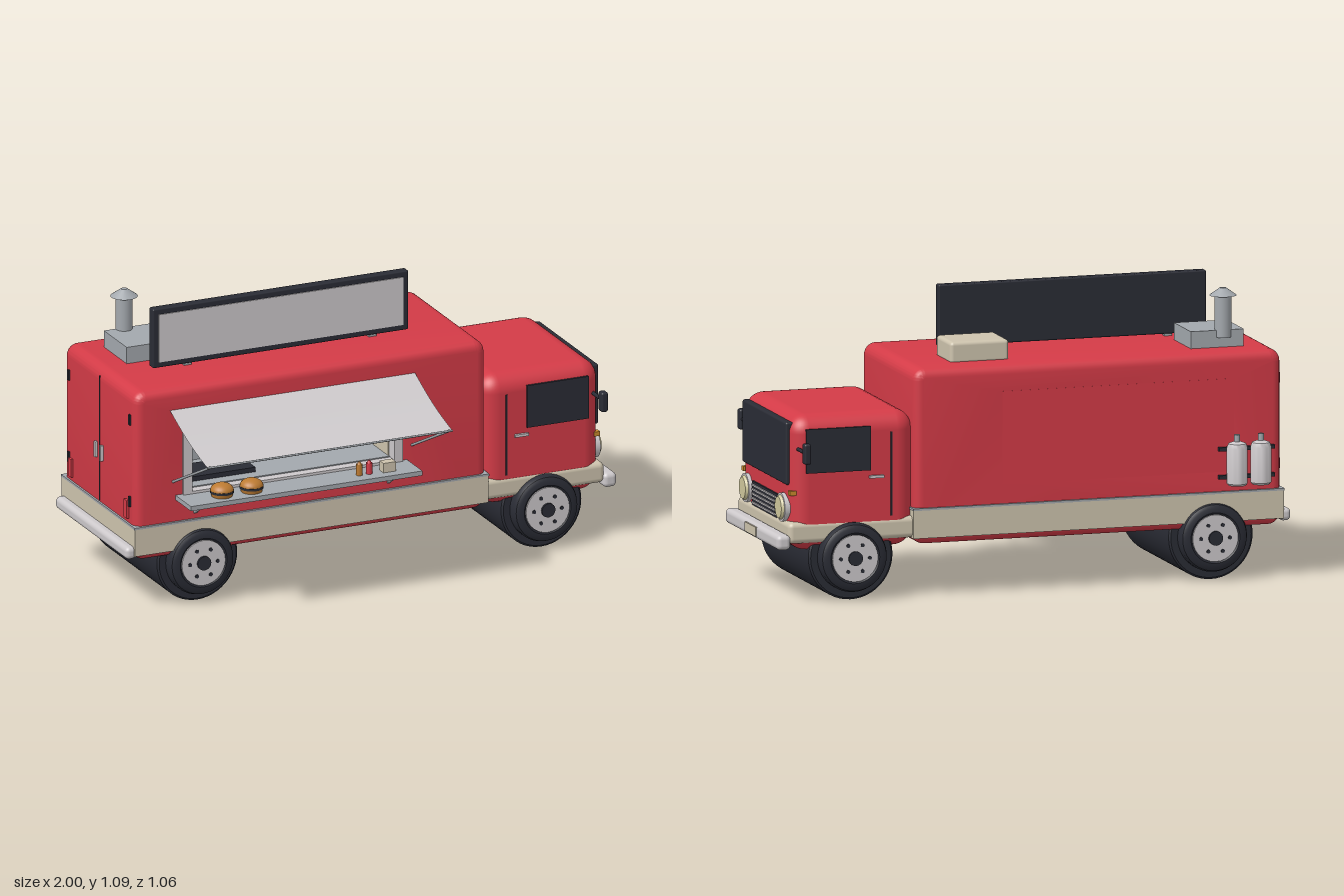
import * as THREE from 'three';
import { toCreasedNormals } from 'three/addons/utils/BufferGeometryUtils.js';
import { RoundedBoxGeometry } from 'three/addons/geometries/RoundedBoxGeometry.js';

const paint = (name, color, double) => {
  const m = new THREE.MeshStandardMaterial({ color });
  m.name = name;
  if (double) m.side = THREE.DoubleSide;
  return m;
};

export function createModel() {
  const red = paint('red paint', 0xd43b47), cream = paint('cream', 0xcec4ae);
  const dark = paint('charcoal', 0x2a2c35), light = paint('light grey', 0xcdc9cb, true);
  const steel = paint('steel', 0xa3a8ad), bun = paint('bun brown', 0xbd7b32);
  const lens = paint('lamp lens', 0xd0c89c), amber = paint('amber', 0xc98a2c);
  const truck = new THREE.Group();
  truck.name = 'foodTruck';
  const MID = -0.122; // centre of the truck across z

  const add = (name, geo, mat, x = 0, y = 0, z = 0) => {
    const m = new THREE.Mesh(geo, mat);
    m.name = name;
    m.position.set(x, y, z);
    truck.add(m);
    return m;
  };
  // Boxes are given by their limits on each axis
  const box = (name, mat, x0, x1, y0, y1, z0, z1, r = 0) => {
    const s = [x1 - x0, y1 - y0, z1 - z0];
    const geo = r ? new RoundedBoxGeometry(...s, 5, r) : new THREE.BoxGeometry(...s);
    return add(name, geo, mat, (x0 + x1) / 2, (y0 + y1) / 2, (z0 + z1) / 2);
  };
  const cyl = (name, mat, r0, r1, h, x, y, z, n = 24) =>
    add(name, new THREE.CylinderGeometry(r0, r1, h, n), mat, x, y, z);
  const rod = (name, mat, a, b, r) => {
    const p = new THREE.Vector3(...a), d = new THREE.Vector3(...b).sub(p);
    const m = cyl(name, mat, r, r, d.length(), 0, 0, 0, 10);
    m.position.copy(p).addScaledVector(d, 0.5);
    m.quaternion.setFromUnitVectors(new THREE.Vector3(0, 1, 0), d.normalize());
  };
  const rect = (P, x0, x1, y0, y1) => new P([[x0, y0], [x1, y0], [x1, y1], [x0, y1]].map(p => new THREE.Vector2(...p)));

  // Kitchen body: rounded shell with a serving opening
  const B = 0.035, r = 0.045, X0 = -0.962, X1 = 0.463, Y0 = 0.195, Y1 = 0.853;
  const shell = new THREE.Shape();
  shell.absarc(X1 - r, Y0 + r, r, -Math.PI / 2, 0);
  shell.absarc(X1 - r, Y1 - r, r, 0, Math.PI / 2);
  shell.absarc(X0 + r, Y1 - r, r, Math.PI / 2, Math.PI);
  shell.absarc(X0 + r, Y0 + r, r, Math.PI, Math.PI * 1.5);
  shell.closePath();
  const open = [-0.737, 0.083, 0.445, 0.715];
  shell.holes.push(rect(THREE.Path, ...open));
  const shellGeo = new THREE.ExtrudeGeometry(shell, {
    depth: 0.635 - 2 * B, bevelThickness: B, bevelSize: B, bevelOffset: -B, bevelSegments: 6, curveSegments: 8,
  });
  add('kitchenBody', toCreasedNormals(shellGeo, 0.6), red, 0, 0, -0.44 + B);
  box('farWallPanel', red, -0.776, 0.122, 0.406, 0.754, -0.4405, -0.43);

  // Serving window frame and kitchen interior
  const frame = rect(THREE.Shape, -0.772, 0.118, 0.41, 0.75);
  frame.holes.push(rect(THREE.Path, ...open));
  add('windowFrame', new THREE.ExtrudeGeometry(frame, { depth: 0.05, bevelEnabled: false }), light, 0, 0, 0.158);
  box('kitchenBackWall', cream, -0.737, 0.083, 0.445, 0.715, -0.11, -0.1);
  box('splashback', steel, -0.735, 0.081, 0.445, 0.585, -0.1, -0.094);
  box('kitchenCeiling', cream, -0.737, 0.083, 0.711, 0.716, -0.1, 0.16);
  box('kitchenCounter', steel, -0.737, 0.083, 0.44, 0.449, -0.1, 0.17);
  for (const x of [-0.738, 0.079]) box('kitchenSideWall', cream, x, x + 0.005, 0.445, 0.715, -0.1, 0.16);
  box('griddle', dark, -0.71, -0.44, 0.449, 0.467, -0.02, 0.12);
  box('spiceShelf', steel, -0.27, 0.079, 0.632, 0.64, -0.094, -0.02);
  [amber, red, light, amber, red, light].forEach((m, i) =>
    cyl('shelfJar', m, 0.011, 0.011, 0.05, -0.22 + i * 0.05, 0.665, -0.055, 14));

  // Serving shelf with brackets, burgers and condiments
  box('servingShelf', steel, -0.8, 0.14, 0.417, 0.435, 0.19, 0.333);
  for (const x of [-0.72, 0.065]) {
    rod('shelfBracket', steel, [x, 0.36, 0.198], [x, 0.42, 0.29], 0.006);
    box('bracketPlate', steel, x - 0.006, x + 0.006, 0.355, 0.42, 0.193, 0.202);
  }
  for (const x of [-0.645, -0.525]) {
    cyl('bunBase', bun, 0.043, 0.039, 0.014, x, 0.442, 0.27);
    cyl('patty', dark, 0.045, 0.045, 0.009, x, 0.453, 0.27);
    const top = add('bunTop', new THREE.SphereGeometry(0.044, 24, 8, 0, Math.PI * 2, 0, Math.PI / 2), bun, x, 0.457, 0.27);
    top.scale.y = 0.65;
  }
  for (const [x, m] of [[-0.09, bun], [-0.05, red]]) {
    cyl('sauceBottle', m, 0.012, 0.012, 0.042, x, 0.456, 0.275, 16);
    cyl('bottleCap', m, 0.004, 0.009, 0.01, x, 0.482, 0.275, 16);
  }
  box('napkinBox', cream, 0.0, 0.05, 0.435, 0.472, 0.257, 0.293);

  // Awning: thin sagging sheet carried by two stays
  const cloth = new THREE.PlaneGeometry(0.995, 1, 1, 10);
  const cp = cloth.attributes.position;
  for (let i = 0; i < cp.count; i++) {
    const t = 0.5 - cp.getY(i);
    cp.setXYZ(i, cp.getX(i) - 0.3245, 0.77 - 0.118 * t - 0.012 * Math.sin(Math.PI * t), 0.195 + 0.333 * t);
  }
  cloth.computeVertexNormals();
  add('awning', cloth, light);
  rod('awningRail', steel, [-0.822, 0.652, 0.528], [0.173, 0.652, 0.528], 0.004);
  for (const x of [-0.81, 0.16]) rod('awningStay', steel, [x, 0.652, 0.526], [x, 0.49, 0.197], 0.005);

  // Skirts and trim around the body and cab
  box('bodySkirt', cream, -0.968, 0.468, 0.22, 0.325, -0.447, 0.202);
  box('bodyTrim', steel, -0.97, 0.47, 0.325, 0.333, -0.45, 0.205);
  box('cabSkirt', cream, 0.44, 0.947, 0.222, 0.302, -0.433, 0.19, 0.02);

  // Cab with windscreen, side windows, doors and mirrors
  box('cab', red, 0.455, 0.935, 0.19, 0.7, -0.43, 0.186, 0.07);
  box('windscreen', dark, 0.895, 0.944, 0.437, 0.672, -0.385, 0.14, 0.008);
  for (const s of [1, -1]) {
    const side = MID + s * 0.308, zs = (a, b) => [MID + s * a, MID + s * b].sort((p, q) => p - q);
    box('sideWindow', dark, 0.63, 0.88, 0.485, 0.65, ...zs(0.296, 0.314));
    box('doorSeam', dark, 0.545, 0.552, 0.31, 0.625, ...zs(0.3, 0.311));
    box('doorHandle', light, 0.58, 0.635, 0.455, 0.465, ...zs(0.305, 0.319));
    rod('mirrorArm', dark, [0.905, 0.575, side - s * 0.05], [0.905, 0.575, MID + s * 0.38], 0.007);
    box('mirror', dark, 0.89, 0.917, 0.535, 0.612, ...zs(0.373, 0.408), 0.008);
    // Headlamps and indicators
    const zl = MID + s * 0.216;
    cyl('headlampRim', light, 0.054, 0.054, 0.03, 0.934, 0.348, zl, 32).rotation.z = -Math.PI / 2;
    cyl('headlampLens', lens, 0.04, 0.047, 0.012, 0.953, 0.348, zl, 32).rotation.z = -Math.PI / 2;
    box('indicator', amber, 0.9, 0.937, 0.401, 0.418, ...zs(0.267, 0.29));
    // Rear door handles, hinges and tail lamps
    box('rearDoorHandle', light, -0.973, -0.96, 0.5, 0.56, ...zs(0.02, 0.032));
    for (const y of [0.4, 0.72]) box('rearHinge', dark, -0.968, -0.955, y, y + 0.04, ...zs(0.265, 0.276));
    box('tailLamp', red, -0.972, -0.955, 0.35, 0.42, ...zs(0.235, 0.26));
  }
  box('rearDoorSeam', dark, -0.964, -0.958, 0.335, 0.825, MID - 0.002, MID + 0.002);

  // Grille, bumpers and plate
  box('grille', dark, 0.92, 0.942, 0.295, 0.385, -0.272, 0.03);
  for (let i = 0; i < 5; i++) box('grilleBar', light, 0.935, 0.948, 0.303 + i * 0.0165, 0.309 + i * 0.0165, -0.262, 0.02);
  box('frontBumper', light, 0.94, 0.994, 0.202, 0.258, -0.44, 0.197, 0.018);
  box('numberPlate', cream, 0.99, 0.998, 0.214, 0.249, -0.187, -0.055);
  box('rearBumper', light, -1, -0.955, 0.208, 0.256, -0.44, 0.197, 0.018);

  // Wheels: one wide roller per axle with a stepped sidewall and rim at each end
  const half = [[0, 0.34], [0.085, 0.336], [0.095, 0.343], [0.112, 0.342], [0.124, 0.334], [0.13, 0.318], [0.13, 0.29], [0.156, 0.29], [0.163, 0.284]];
  const profile = [...half.map(([a, h]) => [a, -h]), ...half.slice().reverse()].map(p => new THREE.Vector2(...p));
  const tyre = toCreasedNormals(new THREE.LatheGeometry(profile, 48), 0.6);
  for (const x of [-0.697, 0.7]) {
    add('tyre', tyre, dark, x, 0.163, MID).rotation.x = Math.PI / 2;
    for (const s of [1, -1]) {
      const disc = (name, mat, rad, h, dx, dy, off) => {
        cyl(name, mat, rad, rad, h, x + dx, 0.163 + dy, MID + s * off, 28).rotation.x = Math.PI / 2;
      };
      disc('rim', light, 0.088, 0.02, 0, 0, 0.334);
      disc('hub', dark, 0.027, 0.02, 0, 0, 0.342);
      for (let i = 0; i < 6; i++) {
        const a = i * Math.PI / 3;
        disc('wheelNut', dark, 0.007, 0.01, Math.cos(a) * 0.056, Math.sin(a) * 0.056, 0.343);
      }
    }
  }

  // Roof sign
  box('signBoard', dark, -0.795, 0.243, 0.862, 1.093, -0.05, -0.014, 0.006);
  box('signPanel', light, -0.773, 0.221, 0.884, 1.071, -0.016, -0.01);
  for (const x of [-0.65, 0.1]) box('signFoot', steel, x - 0.015, x + 0.015, 0.845, 0.866, -0.042, -0.022);

  // Roof cooler, vent box and chimney
  box('roofCooler', cream, 0.06, 0.287, 0.845, 0.927, -0.33, -0.153, 0.014);
  for (let i = 0; i < 5; i++) box('coolerSlat', dark, 0.085, 0.262, 0.864 + i * 0.011, 0.87 + i * 0.011, -0.16, -0.146);
  box('ventBox', steel, -0.85, -0.645, 0.845, 0.917, -0.33, -0.127);
  cyl('chimney', steel, 0.031, 0.031, 0.16, -0.773, 0.97, -0.319);
  cyl('chimneyCap', steel, 0.012, 0.051, 0.028, -0.773, 1.06, -0.319);

  // Gas bottles on the far side
  const bottle = new THREE.LatheGeometry([[0, 0], [0.032, 0], [0.039, 0.008], [0.039, 0.14], [0.033, 0.157], [0.014, 0.164], [0, 0.165]]
    .map(p => new THREE.Vector2(...p)), 24);
  for (const x of [-0.868, -0.776]) {
    add('gasBottle', toCreasedNormals(bottle, 0.7), light, x, 0.36, -0.481);
    cyl('gasValve', steel, 0.011, 0.011, 0.03, x, 0.535, -0.481, 14);
  }
  for (const y of [0.38, 0.485]) box('bottleBracket', dark, -0.93, -0.715, y, y + 0.014, -0.457, -0.436);

  return truck;
}
